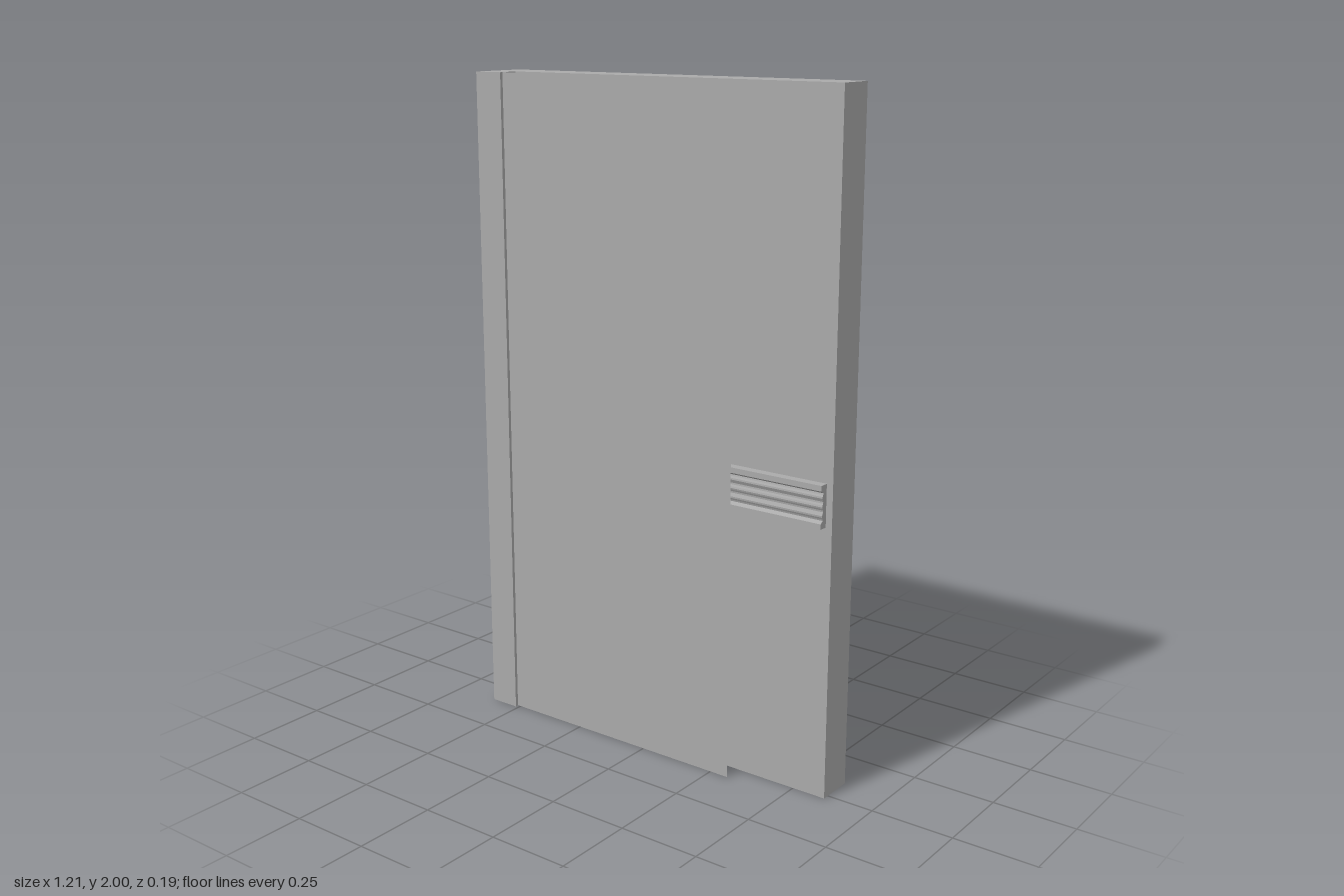
import * as THREE from 'three';

// Closed shape from a short list of corner points
function shapeOf(points) {
  return new THREE.Shape(points.map(([a, b]) => new THREE.Vector2(a, b)));
}

export function createModel() {
  const group = new THREE.Group();
  const grey = new THREE.MeshStandardMaterial({ color: 0xaaaaaa });
  const greySheet = new THREE.MeshStandardMaterial({ color: 0xaaaaaa, side: THREE.DoubleSide });

  const add = (name, geometry, material = grey) => {
    const mesh = new THREE.Mesh(geometry, material);
    mesh.name = name;
    group.add(mesh);
    return mesh;
  };

  const height = 2;

  // Slab with the side post: an L-shaped plan (x, z) raised along y
  const plan = [
    [-0.605, 0.092], [-0.51, 0.092], [-0.515, 0.075], [-0.515, 0.02],
    [0.605, 0.02], [0.605, -0.095], [-0.6, -0.095], [-0.605, -0.09],
  ];
  const slab = new THREE.ExtrudeGeometry(shapeOf(plan.map(([x, z]) => [x, -z])), {
    depth: height, bevelEnabled: false,
  });
  slab.rotateX(-Math.PI / 2);
  add('slabWithPost', slab);

  // Thin front sheet standing clear of the slab
  const left = -0.512, right = 0.31;
  const sheet = add('frontPanel', new THREE.PlaneGeometry(right - left, height), greySheet);
  sheet.position.set((left + right) / 2, height / 2, 0.08);

  // Grooved rail: a lip above and below a rippled middle, run along x
  const profile = [[0.019, 0.81], [0.047, 0.81], [0.047, 0.826], [0.036, 0.833]];
  const steps = 16;
  for (let i = 1; i < steps; i++) {
    const t = i / steps;
    profile.push([0.036 + 0.005 * Math.sin(t * Math.PI * 3) ** 2, 0.833 + t * 0.079]);
  }
  profile.push([0.036, 0.912], [0.047, 0.919], [0.047, 0.935], [0.019, 0.935]);
  const rail = new THREE.ExtrudeGeometry(shapeOf(profile.map(([z, y]) => [-z, y])), {
    depth: 1.097, bevelEnabled: false,
  });
  rail.rotateY(Math.PI / 2);
  add('groovedRail', rail).position.x = -0.512;

  return group;
}
